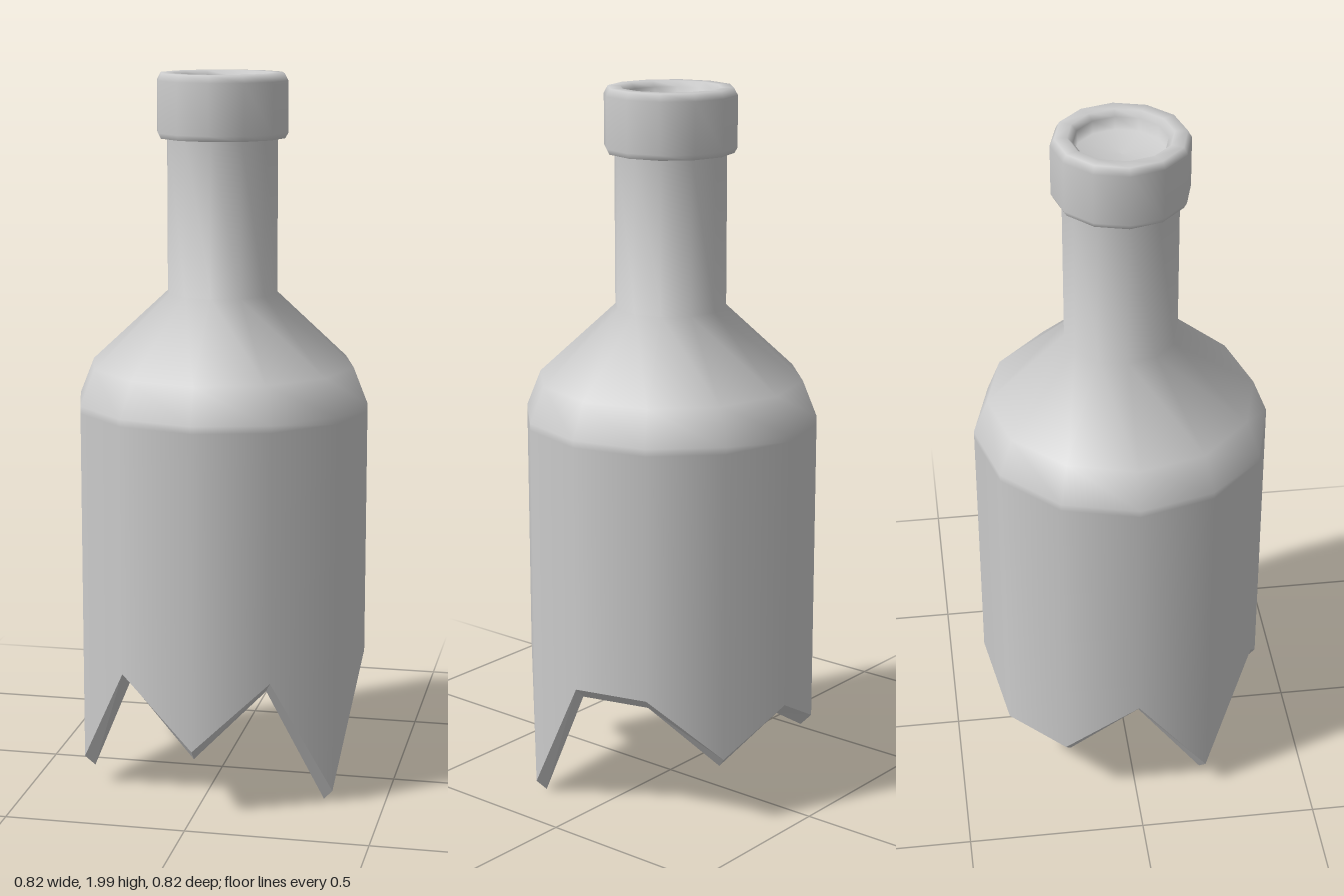
import * as THREE from 'three';

const SIDES = 12;
// Height of the broken edge at each corner, from the front (+z) round through +x
const BREAK = [0.2, 0.39, 0.04, 0.39, 0.39, 0.21, 0.32, 0.21, 0.21, 0.39, 0.09, 0.39];
const OUTER_R = 0.41, INNER_R = 0.38, DROP = 0.03;

const outerBreak = (i) => BREAK[i % SIDES];
const innerBreak = (i) => BREAK[i % SIDES] - DROP;

function lathe(profile) {
  return new THREE.LatheGeometry(profile.map(([r, y]) => new THREE.Vector2(r, y)), SIDES);
}

// Move one ring of a lathe up or down to follow the jagged break
function jag(geometry, ring, ringCount, height) {
  const pos = geometry.attributes.position;
  for (let i = 0; i <= SIDES; i++) pos.setY(i * ringCount + ring, height(i));
  return geometry;
}

function corner(i, r, y) {
  const a = (i / SIDES) * Math.PI * 2;
  return [r * Math.sin(a), y, r * Math.cos(a)];
}

// Flat facets joining the outer and inner walls along the break
function brokenEdgeGeometry() {
  const v = [];
  for (let i = 0; i < SIDES; i++) {
    const o0 = corner(i, OUTER_R, outerBreak(i)), o1 = corner(i + 1, OUTER_R, outerBreak(i + 1));
    const i0 = corner(i, INNER_R, innerBreak(i)), i1 = corner(i + 1, INNER_R, innerBreak(i + 1));
    v.push(...o0, ...i0, ...o1, ...o1, ...i0, ...i1);
  }
  const g = new THREE.BufferGeometry();
  g.setAttribute('position', new THREE.Float32BufferAttribute(v, 3));
  g.computeVertexNormals();
  return g;
}

export function createModel() {
  const group = new THREE.Group();
  group.name = 'brokenBottle';
  const material = new THREE.MeshStandardMaterial({ color: 0xcccccc });
  const add = (name, geometry) => {
    const mesh = new THREE.Mesh(geometry, material);
    mesh.name = name;
    group.add(mesh);
  };

  // Outer wall: body, shoulder and neck
  const outer = [[OUTER_R, 0], [OUTER_R, 1.08], [OUTER_R, 1.1], [0.37, 1.2], [0.155, 1.4], [0.155, 1.84]];
  add('outerWall', jag(lathe(outer), 0, outer.length, outerBreak));

  // Inner wall, closed under the mouth
  const inner = [[0, 1.9], [0.125, 1.9], [0.125, 1.41], [0.345, 1.19], [INNER_R, 1.09], [INNER_R, 0]];
  add('innerWall', jag(lathe(inner), inner.length - 1, inner.length, innerBreak));

  add('brokenEdge', brokenEdgeGeometry());

  // Underside of the lip, then the lip with its shallow sunken mouth
  add('lipUnderside', lathe([[0.15, 1.825], [0.175, 1.825]]));
  add('lip', lathe([
    [0.175, 1.825], [0.183, 1.84], [0.183, 1.98], [0.172, 2],
    [0.138, 2], [0.123, 1.985], [0.12, 1.95], [0, 1.945],
  ]));

  return group;
}
